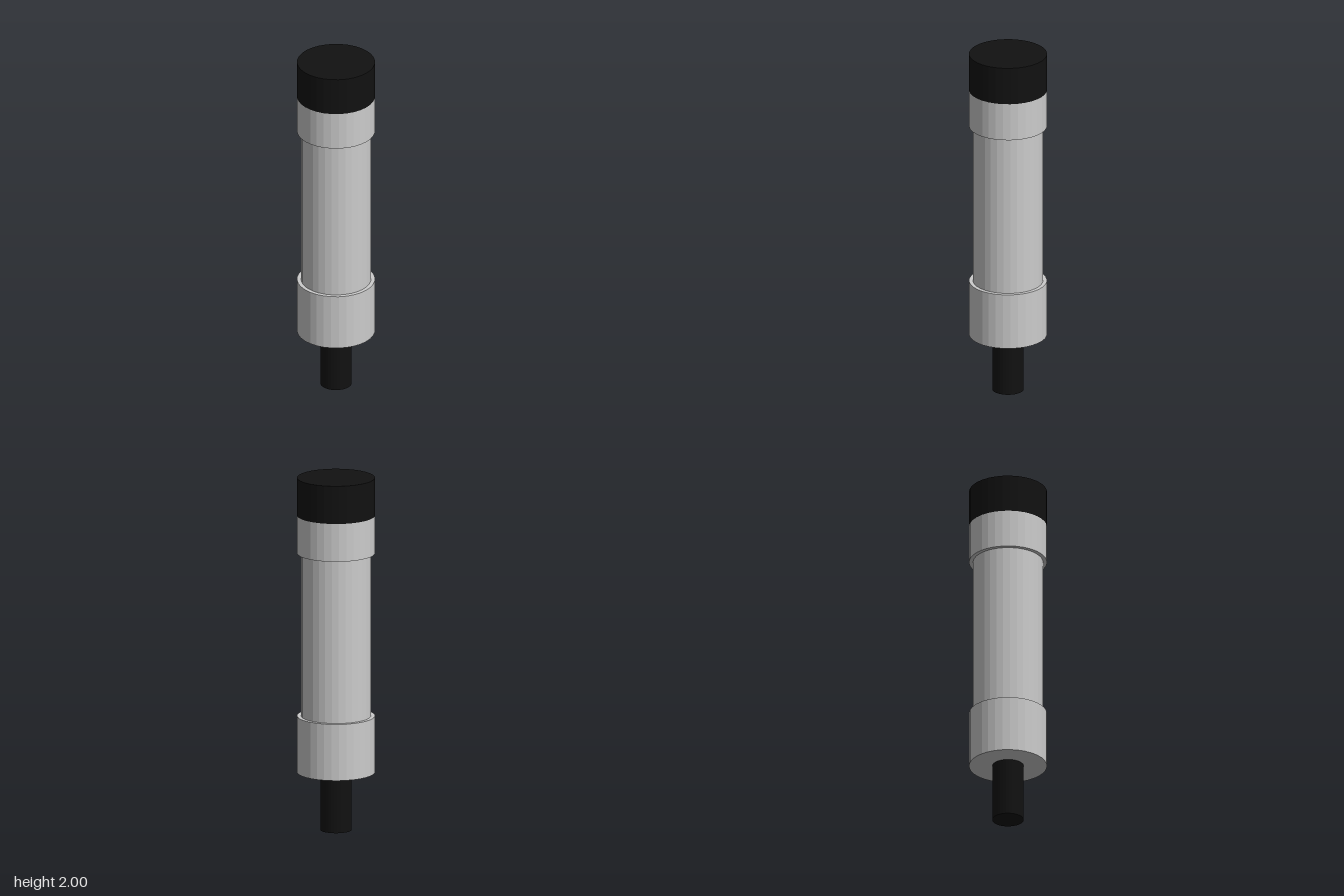
import * as THREE from 'three';

const grey = new THREE.MeshStandardMaterial({ color: 0xcccccc, flatShading: true });
const black = new THREE.MeshStandardMaterial({ color: 0x111111, flatShading: true });

// Upright faceted cylinder spanning y0 to y1
function drum(name, radius, y0, y1, material) {
  const mesh = new THREE.Mesh(new THREE.CylinderGeometry(radius, radius, y1 - y0, 32), material);
  mesh.name = name;
  mesh.position.y = (y0 + y1) / 2;
  return mesh;
}

export function createModel() {
  const model = new THREE.Group();
  model.name = 'cylinderDevice';
  model.add(
    drum('bottomStem', 0.087, 0, 0.328, black),
    drum('lowerCollar', 0.216, 0.328, 0.648, grey),
    drum('body', 0.194, 0.648, 1.571, grey),
    drum('upperCollar', 0.216, 1.571, 1.786, grey),
    drum('topCap', 0.216, 1.786, 2, black),
  );
  return model;
}
